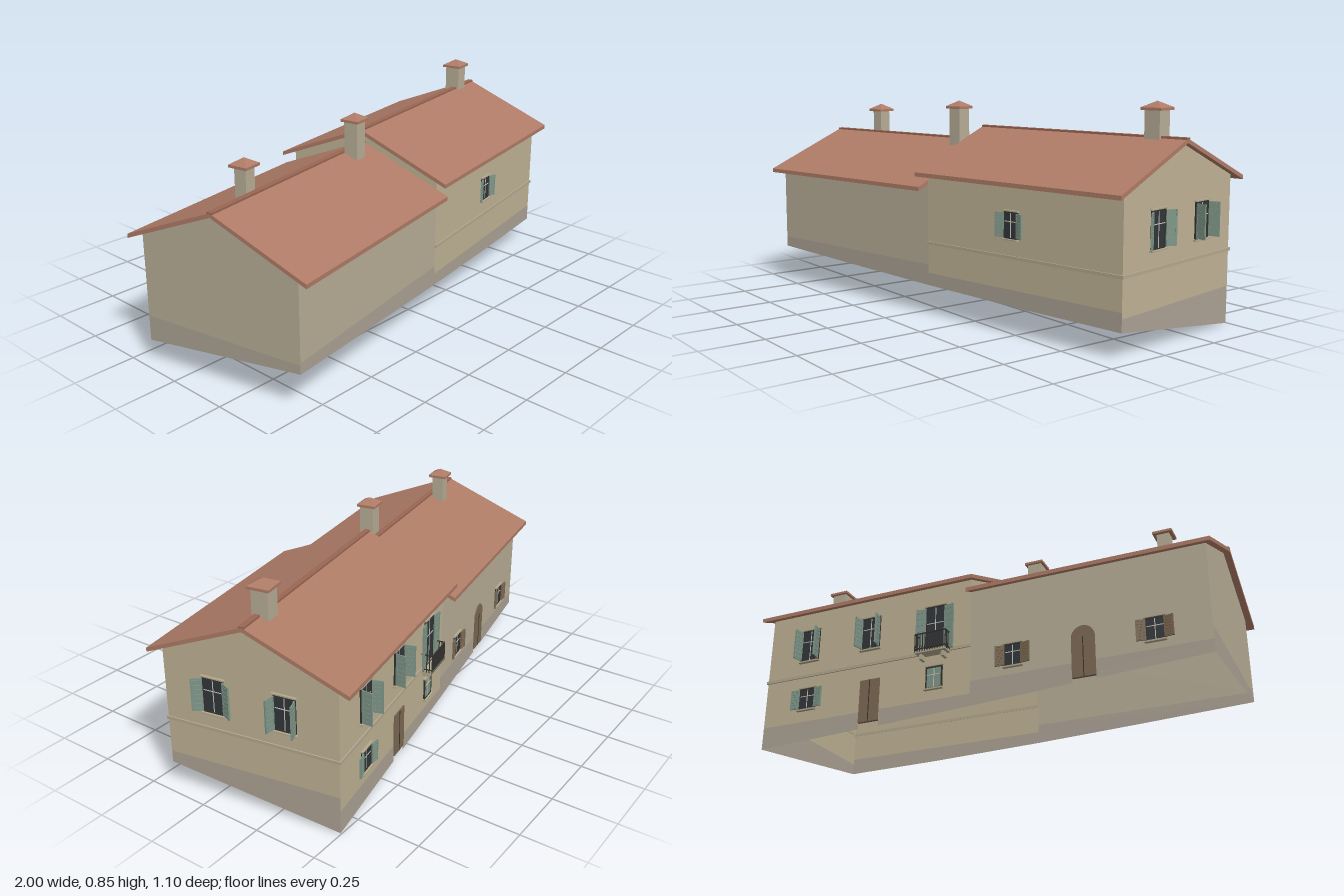
import * as THREE from 'three';

const mat = (color, side = THREE.FrontSide) =>
  new THREE.MeshStandardMaterial({ color, side, flatShading: true });
const M = {
  wall: mat(0xbfb294, THREE.DoubleSide), oldWall: mat(0xb7ad96, THREE.DoubleSide),
  plinth: mat(0xaca294, THREE.DoubleSide), trim: mat(0xb3a88e),
  roof: mat(0xae7b66), ridge: mat(0x9a6653), glass: mat(0x32363a),
  bar: mat(0xc9c6ba), green: mat(0x7f9688), brown: mat(0x7c6852), iron: mat(0x34322f),
};
const HALF = 0.34, END = 0.92, SLOPE = 0.41, EAVE = 0.39, THICK = 0.016;
const BIG = 0.725, SMALL = 0.67; // ridge heights

function add(parent, name, geo, material, x = 0, y = 0, z = 0) {
  const m = new THREE.Mesh(geo, material);
  m.name = name;
  m.position.set(x, y, z);
  parent.add(m);
  return m;
}
const box = (p, name, w, h, d, m, x, y, z) => add(p, name, new THREE.BoxGeometry(w, h, d), m, x, y, z);

// Flat sheet from outline points
function sheet(p, name, pts, m) {
  const s = new THREE.Shape(pts.map(([x, y]) => new THREE.Vector2(x, y)));
  return add(p, name, new THREE.ShapeGeometry(s), m);
}

// Wall with a level plinth band over an uneven foot; foot runs left to right
function wall(p, name, foot, band, top, m) {
  const a = foot[0][0], b = foot[foot.length - 1][0];
  sheet(p, name + 'Plinth', [...foot, [b, band], [a, band]], M.plinth);
  sheet(p, name, [[a, band], [b, band], ...top], m);
}

// Facade group: local x runs along the wall, local z points outwards
function facade(house, name, angle, dist) {
  const g = new THREE.Group();
  g.name = name;
  g.rotation.y = angle;
  g.position.set(Math.sin(angle) * dist, 0, Math.cos(angle) * dist);
  house.add(g);
  return g;
}

// Louvred shutter, hinged at its inner edge; side is +1 or -1
function shutter(p, x, w, h, side, swing, m) {
  const g = new THREE.Group();
  g.name = 'shutter';
  g.position.set(x, 0, 0.008);
  g.rotation.y = -side * swing;
  box(g, 'shutterPanel', w, h, 0.004, m, side * w / 2, 0, 0);
  for (const e of [0.08, 0.92]) box(g, 'shutterStile', w * 0.14, h, 0.007, m, side * w * e, 0, 0);
  for (let i = 0; i < 7; i++)
    box(g, 'shutterSlat', w * 0.8, h * 0.04, 0.007, m, side * w / 2, h * (i - 3) * 0.14, 0);
  p.add(g);
}

function windowUnit(p, x, y, w, h, { shade = M.green, swing = 0.15, closed = false, sw = w / 2 } = {}) {
  const g = new THREE.Group();
  g.name = 'window';
  g.position.set(x, y, 0);
  box(g, 'pane', w, h, 0.008, closed ? shade : M.glass, 0, 0, 0);
  for (const s of [-1, 1]) {
    box(g, 'frameSide', 0.005, h, 0.012, M.iron, s * w / 2, 0, 0);
    box(g, 'frameRail', w, 0.005, 0.012, M.iron, 0, s * h / 2, 0);
    if (!closed) shutter(g, s * w / 2, sw, h * 0.96, s, swing, shade);
  }
  box(g, 'mullion', 0.003, h, 0.011, M.bar, 0, 0, 0);
  box(g, 'transom', w, 0.003, 0.011, M.bar, 0, h * 0.14, 0);
  box(g, 'sill', w * 1.2, 0.006, 0.02, M.trim, 0, -h / 2 - 0.005, 0.004);
  box(g, 'lintel', w * 1.2, 0.005, 0.014, M.trim, 0, h / 2 + 0.005, 0.003);
  p.add(g);
}

// Door slab, with an arched head when asked
function door(p, x, y0, w, h, arched) {
  const s = new THREE.Shape(), r = w / 2, spring = arched ? h - r : h;
  s.moveTo(-r, 0);
  s.lineTo(r, 0);
  s.lineTo(r, spring);
  if (arched) s.absarc(0, spring, r, 0, Math.PI, false);
  else s.lineTo(-r, h);
  const geo = new THREE.ExtrudeGeometry(s, { depth: 0.012, bevelEnabled: false, curveSegments: 12 });
  add(p, 'door', geo, M.brown, x, y0, -0.007);
  box(p, 'doorJoint', 0.003, spring, 0.003, M.iron, x, y0 + spring / 2, 0.005);
}

function balcony(p, x, y) {
  const g = new THREE.Group();
  g.name = 'balcony';
  g.position.set(x, y, 0);
  const W = 0.13, D = 0.045, H = 0.075;
  box(g, 'balconySlab', W, 0.01, D, M.trim, 0, 0, D / 2);
  for (const s of [-1, 1]) {
    box(g, 'corbel', 0.012, 0.022, D * 0.7, M.trim, s * W * 0.36, -0.015, D * 0.35);
    for (const e of [0.012, H]) box(g, 'sideRail', 0.004, 0.004, D, M.iron, s * W / 2, e, D / 2);
    for (let i = 1; i < 4; i++) box(g, 'baluster', 0.003, H, 0.003, M.iron, s * W / 2, H / 2, D * i / 4);
  }
  for (const e of [0.012, H]) box(g, 'frontRail', W, 0.004, 0.004, M.iron, 0, e, D);
  for (let i = 0; i <= 12; i++) box(g, 'baluster', 0.003, H, 0.003, M.iron, W * (i / 12 - 0.5), H / 2, D);
  p.add(g);
}

// Two-pitch roof shell from u0 to u1, with a ridge cap
function roof(p, name, ridge, u0, u1) {
  const low = ridge - SLOPE * EAVE;
  const s = new THREE.Shape([[-EAVE, low - THICK], [0, ridge - THICK], [EAVE, low - THICK],
    [EAVE, low], [0, ridge], [-EAVE, low]].map(([x, y]) => new THREE.Vector2(x, y)));
  const geo = new THREE.ExtrudeGeometry(s, { depth: u1 - u0, bevelEnabled: false });
  geo.rotateY(Math.PI / 2);
  add(p, name, geo, M.roof, u0, 0, 0);
  box(p, name + 'RidgeCap', u1 - u0, 0.008, 0.022, M.ridge, (u0 + u1) / 2, ridge - 0.001, 0);
}

function chimney(p, x, z, w, capY, capW) {
  const g = new THREE.Group();
  g.name = 'chimney';
  g.position.set(x, 0, z);
  const foot = 0.61;
  box(g, 'chimneyShaft', w, capY - foot, w, M.oldWall, 0, (capY + foot) / 2, 0);
  box(g, 'chimneyCapSlab', capW, 0.01, capW, M.roof, 0, capY + 0.005, 0);
  const tip = new THREE.ConeGeometry(capW / Math.SQRT2, 0.023, 4);
  tip.rotateY(Math.PI / 4);
  add(g, 'chimneyCap', tip, M.roof, 0, capY + 0.0215, 0);
  p.add(g);
}

export function createModel() {
  const model = new THREE.Group();
  model.name = 'farmhouse';
  const house = new THREE.Group();
  house.name = 'house';
  house.rotation.y = 0.176;
  model.add(house);

  const topAt = (ridge, v) => ridge - THICK - SLOPE * v;
  const bigTop = topAt(BIG, HALF), smallTop = topAt(SMALL, HALF);
  const level = (a, b, y) => [[b, y], [a, y]];
  const gable = (ridge) => [[HALF, topAt(ridge, HALF)], [0, topAt(ridge, 0)], [-HALF, topAt(ridge, HALF)]];

  // Front
  const front = facade(house, 'front', 0, HALF);
  wall(front, 'oldFrontWall', [[-END, 0.157], [-0.45, 0.136], [0, 0.118]], 0.2, level(-END, 0, smallTop), M.oldWall);
  wall(front, 'frontWall', [[0, 0.118], [0.5, 0.104], [END, 0.098]], 0.167, level(0, END, bigTop), M.wall);
  windowUnit(front, 0.432, 0.405, 0.062, 0.095, { sw: 0.034, swing: 0.3 });

  // Back, with notches in the foot below the doors
  const back = facade(house, 'back', Math.PI, HALF);
  wall(back, 'backWall', [[-END, 0], [-0.475, 0.02], [-0.475, 0.045], [-0.388, 0.045], [-0.388, 0.022], [0, 0.04]],
    0.09, level(-END, 0, bigTop), M.wall);
  wall(back, 'oldBackWall', [[0, 0.04], [0.405, 0.062], [0.405, 0.08], [0.495, 0.08], [0.495, 0.067], [END, 0.09]],
    0.14, level(0, END, smallTop), M.oldWall);
  for (const x of [-0.725, -0.44]) windowUnit(back, x, 0.42, 0.078, 0.133, { swing: 1.4, sw: 0.042 });
  windowUnit(back, -0.15, 0.382, 0.08, 0.195, { swing: 0.12, sw: 0.042 });
  balcony(back, -0.15, 0.278);
  windowUnit(back, -0.72, 0.185, 0.07, 0.085, { sw: 0.036 });
  windowUnit(back, -0.15, 0.18, 0.065, 0.085, { closed: true });
  for (const x of [0.176, 0.718]) windowUnit(back, x, 0.215, 0.066, 0.085, { shade: M.brown, sw: 0.036 });
  door(back, -0.432, 0.045, 0.087, 0.175, false);
  door(back, 0.45, 0.08, 0.09, 0.2, true);

  // Gable ends
  const right = facade(house, 'rightEnd', Math.PI / 2, END);
  wall(right, 'rightWall', [[-HALF, 0.098], [HALF, 0]], 0.145, gable(BIG), M.wall);
  windowUnit(right, -0.14, 0.423, 0.08, 0.133, { swing: 0.5, sw: 0.042 });
  windowUnit(right, 0.139, 0.423, 0.08, 0.133, { swing: 1.35, sw: 0.042 });
  const left = facade(house, 'leftEnd', -Math.PI / 2, END);
  wall(left, 'leftWall', [[-HALF, 0.09], [HALF, 0.157]], 0.19, gable(SMALL), M.oldWall);

  // Gable of the taller part, showing above the lower roof
  const middle = facade(house, 'middleGable', -Math.PI / 2, 0);
  sheet(middle, 'middleGableWall', [[-HALF, smallTop - 0.02], [0, SMALL - 0.04], [HALF, smallTop - 0.02], ...gable(BIG)], M.wall);

  // String course round the taller part
  for (const s of [-1, 1])
    box(house, 'stringCourse', END + 0.005, 0.012, 0.006, M.trim, END / 2 + 0.0025, 0.287, s * (HALF + 0.002));
  box(house, 'stringCourse', 0.006, 0.012, HALF * 2, M.trim, END + 0.002, 0.287, 0);

  // Roofs and chimneys
  roof(house, 'lowerRoof', SMALL, -0.945, 0);
  roof(house, 'upperRoof', BIG, -0.022, 0.945);
  chimney(house, -0.703, -0.043, 0.05, 0.757, 0.078);
  chimney(house, -0.124, 0.039, 0.058, 0.792, 0.078);
  chimney(house, 0.809, -0.01, 0.064, 0.818, 0.085);
  return model;
}
